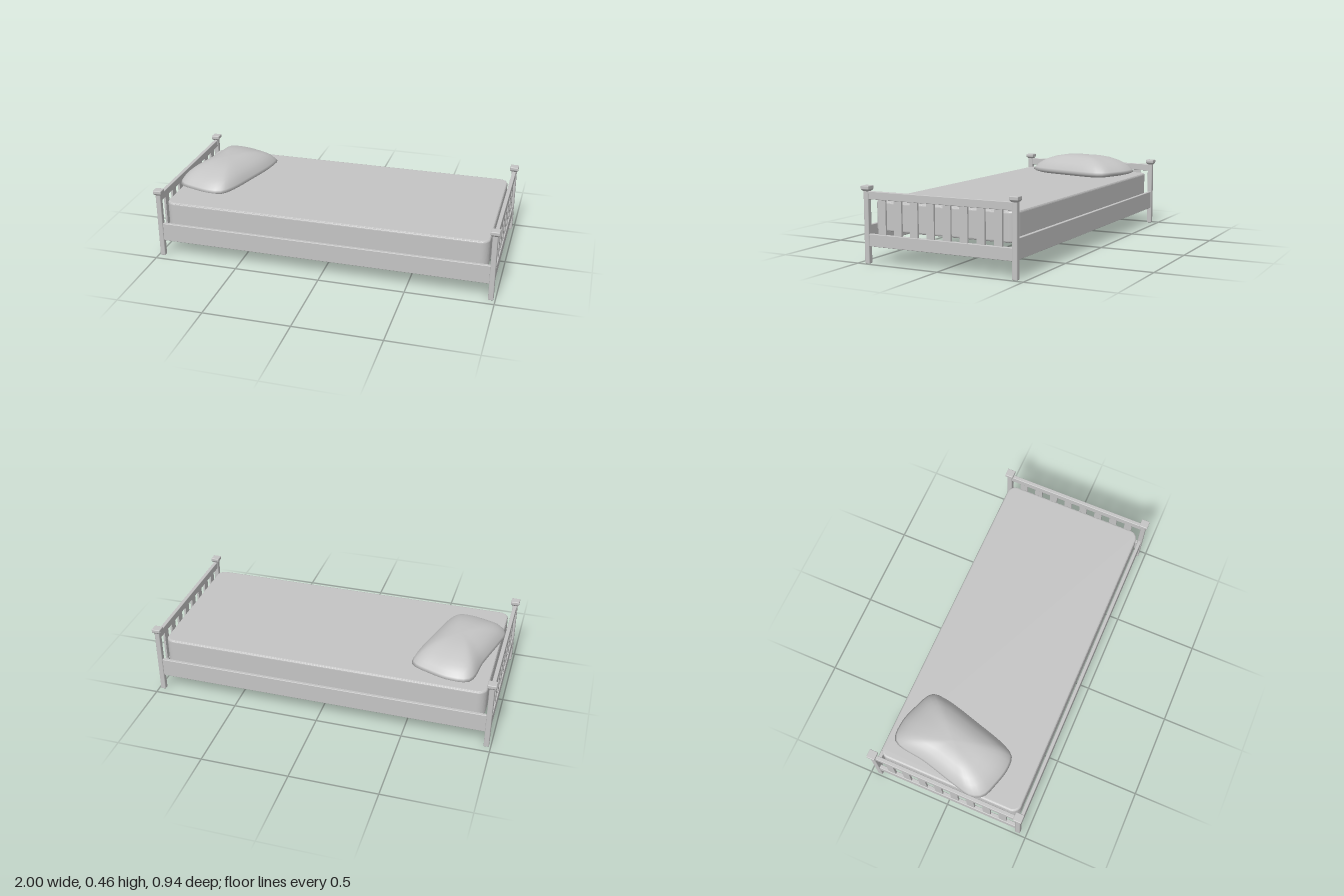
import * as THREE from 'three';
import { RoundedBoxGeometry } from 'three/addons/geometries/RoundedBoxGeometry.js';

export function createModel() {
  const bed = new THREE.Group();
  bed.name = 'bed';
  const grey = new THREE.MeshStandardMaterial({ color: 0xc4c4c4 });
  grey.name = 'plain grey';

  function add(name, geometry, x = 0, y = 0, z = 0, parent = bed) {
    const mesh = new THREE.Mesh(geometry, grey);
    mesh.name = name;
    mesh.position.set(x, y, z);
    parent.add(mesh);
    return mesh;
  }
  const block = (w, h, d, r = 0.003) => new RoundedBoxGeometry(w, h, d, 2, r);

  // Corner posts with flared, square caps
  const flare = new THREE.CylinderGeometry(0.024 * Math.SQRT2, 0.015 * Math.SQRT2, 0.01, 4)
    .rotateY(Math.PI / 4).toNonIndexed();
  flare.computeVertexNormals();
  for (const x of [-0.975, 0.975]) {
    for (const z of [-0.446, 0.446]) {
      const post = new THREE.Group();
      post.name = 'cornerPost';
      post.position.set(x, 0, z);
      add('postShaft', block(0.03, 0.4, 0.03, 0.005), 0, 0.2, 0, post);
      add('capFlare', flare, 0, 0.398, 0, post);
      add('postCap', block(0.05, 0.021, 0.05, 0.004), 0, 0.4125, 0, post);
      bed.add(post);
    }
  }

  // Headboard and footboard: two rails joined by eight slats
  for (const [name, x] of [['headboard', -0.975], ['footboard', 0.975]]) {
    const board = new THREE.Group();
    board.name = name;
    board.position.x = x;
    add('topRail', block(0.022, 0.043, 0.87), 0, 0.3715, 0, board);
    add('bottomRail', block(0.022, 0.068, 0.87), 0, 0.129, 0, board);
    for (let i = 0; i < 8; i++) {
      add('slat', new THREE.BoxGeometry(0.012, 0.19, 0.047), 0, 0.257, -0.35 + i * 0.1, board);
    }
    bed.add(board);
  }

  // Long side rails
  for (const z of [-0.446, 0.446]) {
    add('sideRail', block(1.93, 0.11, 0.02), 0, 0.155, z);
  }

  // Mattress: rounded rectangle with softened edges
  function roundedRectangle(hx, hz, r) {
    const s = new THREE.Shape();
    s.moveTo(-hx + r, -hz);
    s.lineTo(hx - r, -hz).absarc(hx - r, -hz + r, r, -Math.PI / 2, 0);
    s.lineTo(hx, hz - r).absarc(hx - r, hz - r, r, 0, Math.PI / 2);
    s.lineTo(-hx + r, hz).absarc(-hx + r, hz - r, r, Math.PI / 2, Math.PI);
    s.lineTo(-hx, -hz + r).absarc(-hx + r, -hz + r, r, Math.PI, Math.PI * 1.5);
    return s;
  }
  const mattress = new THREE.ExtrudeGeometry(roundedRectangle(0.933, 0.418, 0.04), {
    depth: 0.139, bevelEnabled: true, bevelThickness: 0.012, bevelSize: 0.012,
    bevelSegments: 4, curveSegments: 8,
  }).rotateX(-Math.PI / 2);
  add('mattress', mattress, 0, 0.187, 0);

  // Piping around the upper and lower mattress edges
  const edge = roundedRectangle(0.938, 0.423, 0.045).getPoints(8)
    .map((p) => new THREE.Vector3(p.x, 0, p.y));
  const loop = new THREE.CurvePath();
  edge.forEach((p, i) => {
    const next = edge[(i + 1) % edge.length];
    if (p.distanceTo(next) > 1e-5) loop.add(new THREE.LineCurve3(p, next));
  });
  const piping = new THREE.TubeGeometry(loop, 400, 0.005, 6, true);
  for (const y of [0.181, 0.332]) add('piping', piping, 0, y, 0);

  // Pillow: a slanted outline scaled through a soft cushion profile
  const centre = [-0.73, -0.055];
  const outline = new THREE.CatmullRomCurve3([
    [-0.84, -0.375], [-0.73, -0.39], [-0.61, -0.355], [-0.505, -0.3], [-0.5, -0.22],
    [-0.56, 0.02], [-0.62, 0.21], [-0.66, 0.27], [-0.735, 0.28], [-0.84, 0.255],
    [-0.935, 0.215], [-0.962, 0.15], [-0.94, 0.04], [-0.885, -0.17],
  ].map(([x, z]) => new THREE.Vector3(x - centre[0], 0, z - centre[1])), true, 'centripetal');
  const profile = [
    [0.001, 0.334], [0.8, 0.336], [0.93, 0.346], [1, 0.358], [0.965, 0.373], [0.9, 0.395],
    [0.81, 0.414], [0.7, 0.431], [0.53, 0.449], [0.35, 0.459], [0.17, 0.462], [0.001, 0.463],
  ];
  const sides = 56;
  const ring = outline.getSpacedPoints(sides).slice(0, sides);
  const positions = [], faces = [];
  profile.forEach(([s, y], j) => {
    ring.forEach((p, i) => {
      positions.push(p.x * s, y, p.z * s);
      if (j === profile.length - 1) return;
      const a = j * sides + i, b = j * sides + (i + 1) % sides;
      faces.push(a, a + sides, b, b, a + sides, b + sides);
    });
  });
  const pillow = new THREE.BufferGeometry();
  pillow.setAttribute('position', new THREE.Float32BufferAttribute(positions, 3));
  pillow.setIndex(faces);
  pillow.computeVertexNormals();
  add('pillow', pillow, centre[0], 0, centre[1]);

  return bed;
}
